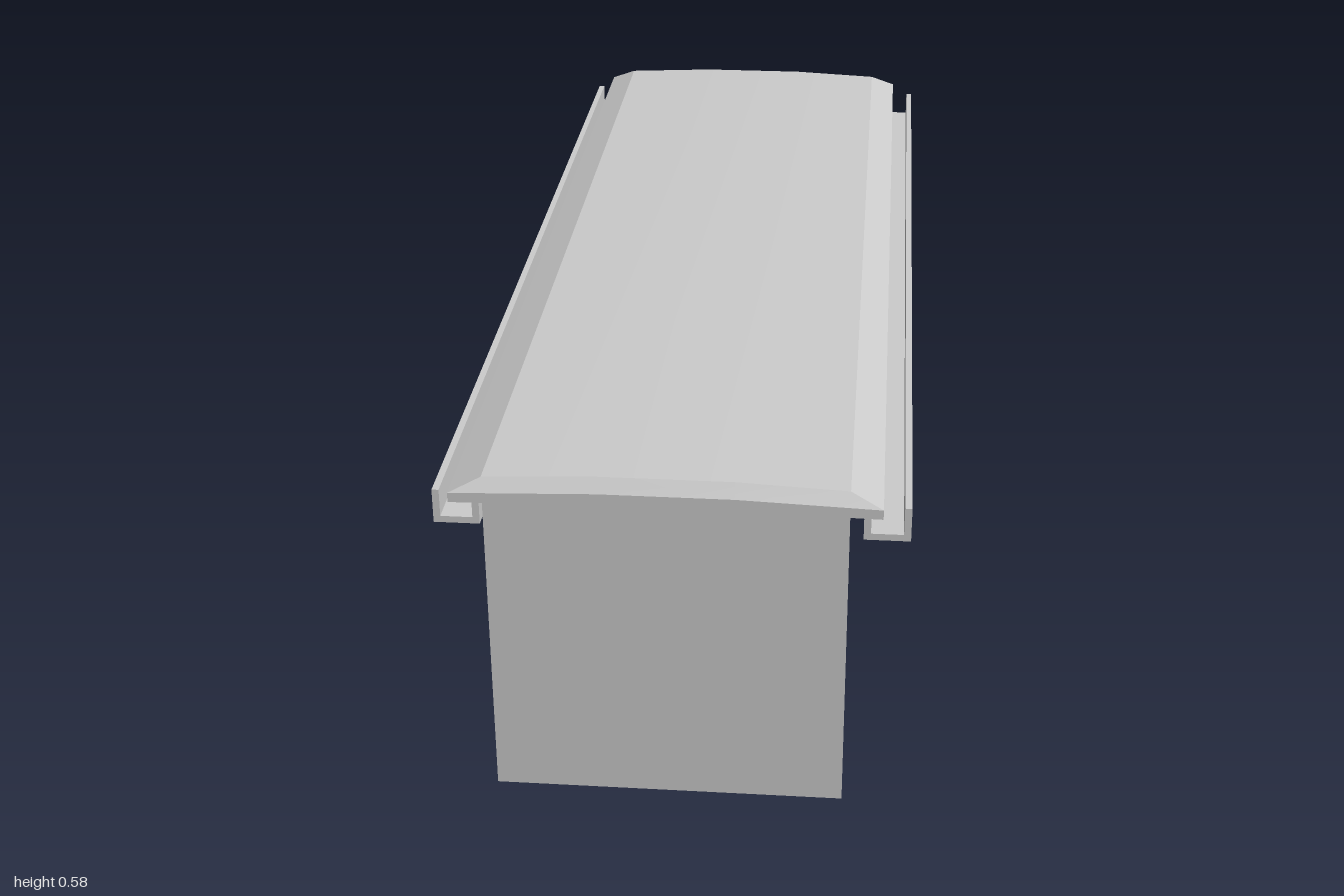
import * as THREE from 'three';
import { toCreasedNormals } from 'three/addons/utils/BufferGeometryUtils.js';

const grey = new THREE.MeshStandardMaterial({ color: 0xcccccc });
const greyThin = new THREE.MeshStandardMaterial({ color: 0xcccccc, side: THREE.DoubleSide });

// Hollow roof shell: three rings of eight points (rim, shoulder, crown edge) closed by a cambered top
function roofGeometry() {
  const rings = [
    { left: -0.338, right: 0.324, z: 1, side: 0.532, mid: 0.536 },
    { left: -0.338, right: 0.324, z: 1, side: 0.548, mid: 0.556 },
    { left: -0.288, right: 0.274, z: 0.985, side: 0.57, mid: 0.578 },
  ];
  const points = [];
  for (const r of rings) {
    const section = [[r.left, r.side], [-0.11, r.mid], [0.1, r.mid], [r.right, r.side]];
    for (const [x, y] of section) points.push(x, y, r.z);
    for (const [x, y] of section.reverse()) points.push(x, y, -r.z);
  }
  const index = [];
  const quad = (a, b, c, d) => index.push(a, b, c, a, c, d);
  for (let k = 0; k < 2; k++) {
    for (let i = 0; i < 8; i++) {
      const j = (i + 1) % 8;
      quad(k * 8 + i, k * 8 + j, k * 8 + 8 + j, k * 8 + 8 + i);
    }
  }
  for (let i = 0; i < 3; i++) quad(16 + i, 17 + i, 22 - i, 23 - i);
  const geometry = new THREE.BufferGeometry();
  geometry.setAttribute('position', new THREE.Float32BufferAttribute(points, 3));
  geometry.setIndex(index);
  return toCreasedNormals(geometry, 0.3);
}

// U-shaped channel running along z
function gutterGeometry() {
  const inner = 0.295, outer = 0.367, bottom = 0.483, top = 0.54, t = 0.011;
  const shape = new THREE.Shape([
    [inner, bottom], [outer, bottom], [outer, top], [outer - t, top],
    [outer - t, bottom + t], [inner + t, bottom + t], [inner + t, top], [inner, top],
  ].map(([x, y]) => new THREE.Vector2(x, y)));
  return new THREE.ExtrudeGeometry(shape, { depth: 1.935, bevelEnabled: false });
}

export function createModel() {
  const model = new THREE.Group();
  model.name = 'canopy';
  const add = (name, geometry, material) => {
    const mesh = new THREE.Mesh(geometry, material);
    mesh.name = name;
    model.add(mesh);
    return mesh;
  };

  add('roof', roofGeometry(), greyThin);

  // Gutters: the right one is the left one turned about y
  const gutter = gutterGeometry();
  add('leftGutter', gutter, grey).position.z = -0.957;
  const right = add('rightGutter', gutter, grey);
  right.rotation.y = Math.PI;
  right.position.z = 0.978;

  // Thin end panels that carry the roof
  const panel = new THREE.PlaneGeometry(0.562, 0.545);
  for (const [name, z] of [['frontPanel', 0.987], ['backPanel', -0.987]]) {
    add(name, panel, greyThin).position.set(-0.007, 0.2725, z);
  }
  return model;
}
